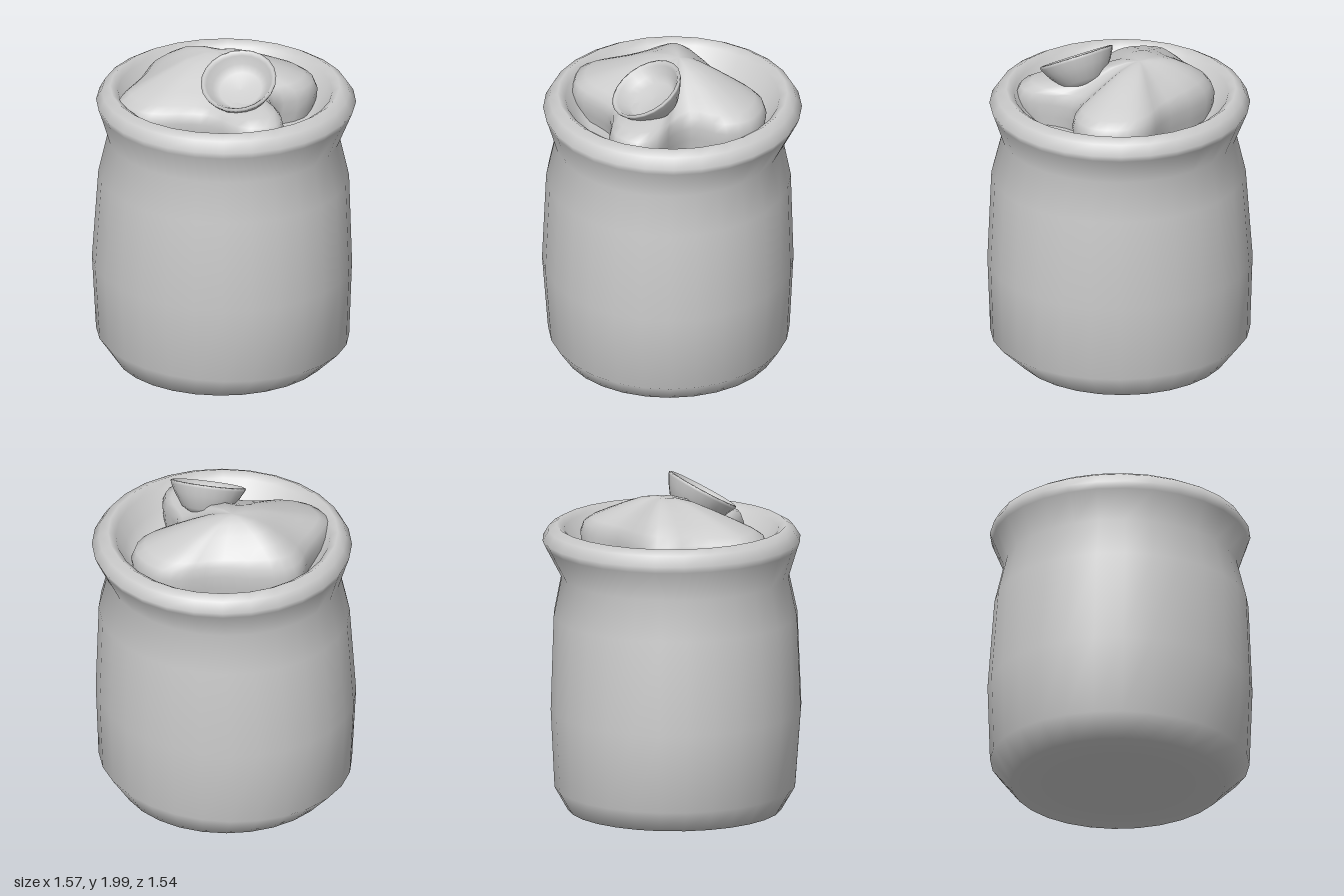
import * as THREE from 'three';

// Skin a stack of closed rings (arrays of Vector3 with equal length), bottom to top.
function loft(rings) {
  const n = rings[0].length, index = [];
  for (let i = 0; i < rings.length - 1; i++) {
    for (let j = 0; j < n; j++) {
      const a = i * n + j, b = i * n + (j + 1) % n;
      index.push(a, b, b + n, a, b + n, a + n);
    }
  }
  const geometry = new THREE.BufferGeometry().setFromPoints(rings.flat());
  geometry.setIndex(index);
  geometry.computeVertexNormals();
  return geometry;
}

export function createModel() {
  const group = new THREE.Group();
  const material = new THREE.MeshStandardMaterial({ color: 0xcccccc, side: THREE.DoubleSide });
  const add = (name, geometry) => {
    const mesh = new THREE.Mesh(geometry, material);
    mesh.name = name;
    group.add(mesh);
    return mesh;
  };

  // Sack: underside, bulging wall, pinched neck, rolled rim and shallow mouth
  // Each ring: y, x radius, z radius, x offset, z offset
  const sackRings = [
    [0.015, 0, 0, -0.01, 0.02],
    [0.01, 0.4, 0.4, -0.01, 0.02],
    [0.01, 0.635, 0.635, -0.01, 0.02],
    [0.15, 0.772, 0.715, 0, 0.022],
    [0.62, 0.787, 0.744, 0, 0.028],
    [1.18, 0.754, 0.724, 0.01, 0.024],
    [1.42, 0.695, 0.675, 0.008, 0.022],
    [1.6, 0.757, 0.75, 0.008, 0.002],
    [1.64, 0.772, 0.766, 0.008, 0],
    [1.7, 0.735, 0.73, 0.004, 0],
    [1.73, 0.68, 0.68, 0, 0],
    [1.7, 0.635, 0.635, 0, 0],
    [1.6, 0.58, 0.58, 0, 0],
    [1.52, 0.49, 0.49, 0, 0],
    [1.48, 0, 0, 0, 0],
  ];
  const sides = 28;
  add('sack', loft(sackRings.map(([y, rx, rz, cx, cz]) =>
    Array.from({ length: sides }, (_, j) => {
      const a = (j / sides) * Math.PI * 2;
      return new THREE.Vector3(cx + Math.sin(a) * rx, y, cz + Math.cos(a) * rz);
    }))));

  // Lumpy filling: lobed outline shrunk in steps towards its peak
  const outline = [
    [-0.2, 0.6], [-0.08, 0.56], [0.08, 0.42], [0.2, 0.365], [0.48, 0.37], [0.595, 0.22],
    [0.52, 0.08], [0.37, 0.0], [0.29, -0.12], [0.37, -0.29], [0.33, -0.46], [0.2, -0.54],
    [0.05, -0.55], [-0.07, -0.48], [-0.19, -0.33], [-0.49, -0.13], [-0.57, 0.01],
    [-0.5, 0.2], [-0.44, 0.43], [-0.38, 0.55],
  ].map(([x, z]) => new THREE.Vector3(x, 0, z));
  const contour = new THREE.CatmullRomCurve3(outline, true).getPoints(48).slice(0, 48);
  const peak = [-0.1, -0.04];
  const steps = [
    [0.93, 1.47], [0.98, 1.57], [1, 1.65], [0.96, 1.71], [0.87, 1.745], [0.7, 1.79],
    [0.5, 1.84], [0.3, 1.885], [0.12, 1.908], [0, 1.91],
  ];
  add('filling', loft(steps.map(([s, y]) => contour.map((p) => {
    const x = peak[0] + (p.x - peak[0]) * s, z = peak[1] + (p.z - peak[1]) * s;
    // raised shoulder on one side of the peak, hollow under the dish
    const top = y > 1.72 ? 1 : 0;
    const shoulder = 0.04 * Math.exp(-((x + 0.36) ** 2 + z ** 2) / 0.03);
    const hollow = 0.08 * Math.exp(-((x - 0.23) ** 2 + (z - 0.13) ** 2) / 0.02);
    return new THREE.Vector3(x, y + top * (shoulder - hollow), z);
  }))));

  // Small open dish lying tilted on the filling
  const dishProfile = [
    [0, -0.175], [0.08, -0.172], [0.14, -0.14], [0.195, -0.06], [0.222, -0.01], [0.226, 0.005],
    [0.212, 0.01], [0.195, -0.01], [0.165, -0.05], [0.125, -0.085], [0, -0.09],
  ].map(([r, y]) => new THREE.Vector2(r, y));
  const dish = add('dish', new THREE.LatheGeometry(dishProfile, 22));
  dish.position.set(0.235, 1.885, 0.155);
  dish.quaternion.setFromUnitVectors(
    new THREE.Vector3(0, 1, 0), new THREE.Vector3(0.2, 0.87, 0.45).normalize());

  return group;
}
